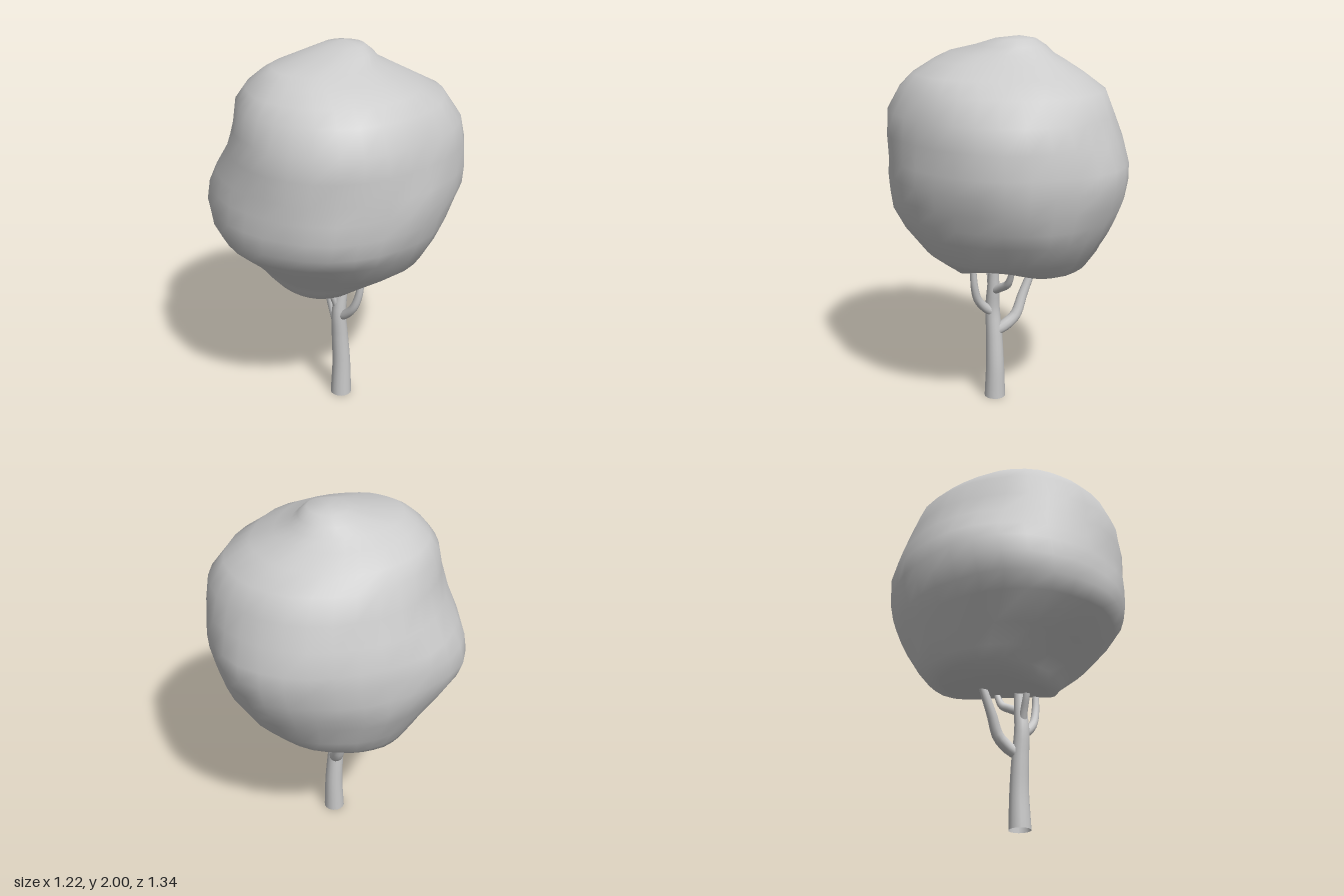
import * as THREE from 'three';
import { mergeVertices } from 'three/addons/utils/BufferGeometryUtils.js';

const material = new THREE.MeshStandardMaterial({ color: 0xcccccc });
const openMaterial = new THREE.MeshStandardMaterial({ color: 0xcccccc, side: THREE.DoubleSide });

// Crown outline by height: [y, xMin, xMax, zMin, zMax]
const CROWN = [
  [0.67, -0.12, -0.12, 0.17, 0.17], [0.68, -0.19, 0.06, 0.05, 0.25],
  [0.7, -0.26, 0.2, -0.08, 0.3], [0.74, -0.4, 0.28, -0.28, 0.32],
  [0.8, -0.44, 0.36, -0.41, 0.37], [0.89, -0.49, 0.45, -0.5, 0.47],
  [1.02, -0.555, 0.53, -0.585, 0.625], [1.1, -0.585, 0.57, -0.615, 0.662],
  [1.19, -0.602, 0.588, -0.645, 0.662], [1.29, -0.603, 0.602, -0.664, 0.65],
  [1.38, -0.6, 0.595, -0.664, 0.637], [1.5, -0.555, 0.585, -0.64, 0.625],
  [1.62, -0.512, 0.572, -0.607, 0.61], [1.74, -0.475, 0.52, -0.55, 0.567],
  [1.81, -0.415, 0.45, -0.42, 0.505], [1.87, -0.33, 0.33, -0.31, 0.435],
  [1.91, -0.26, 0.23, -0.24, 0.37], [1.95, -0.19, 0.16, -0.2, 0.18],
  [1.985, -0.12, 0.1, -0.15, 0.05], [2.0, -0.03, -0.03, -0.06, -0.06],
];

// Swellings and hollows of the crown: [angle in degrees from +x towards +z, y, amount]
const LUMPS = [
  [315, 1.6, 0.06], [315, 1.86, -0.06], [328, 1.3, 0.03], [315, 0.78, -0.1], [341, 1.17, -0.03],
  [45, 1.56, 0.06], [50, 1.25, 0.015], [45, 0.9, -0.03], [75, 1.05, -0.02],
  [135, 1.8, 0.01], [135, 1.58, -0.05], [138, 1.22, 0.07], [150, 1.25, 0.03], [135, 0.78, 0.1],
  [213, 1.3, -0.05], [246, 1.32, 0.03], [225, 0.95, -0.06],
];

function lumpiness(a, y) {
  let sum = 0;
  for (const [deg, ly, amount] of LUMPS) {
    const turn = a - THREE.MathUtils.degToRad(deg);
    const d = Math.atan2(Math.sin(turn), Math.cos(turn));
    sum += amount * Math.exp(-((d / 0.45) ** 2) - ((y - ly) / 0.17) ** 2);
  }
  return sum + 0.006 * Math.sin(7 * a - 9 * y) + 0.004 * Math.sin(11 * a + 15 * y);
}

// Foliage skinned over the outline rings
function crownGeometry() {
  const seg = 32, pos = [], index = [];
  for (const [y, x0, x1, z0, z1] of CROWN) {
    for (let i = 0; i < seg; i++) {
      const a = (i / seg) * Math.PI * 2, k = 1 + lumpiness(a, y);
      const x = (x0 + x1) / 2 + k * Math.cos(a) * (x1 - x0) / 2;
      const z = (z0 + z1) / 2 + k * Math.sin(a) * (z1 - z0) / 2;
      // slope of the underside up towards the branches
      const lift = y < 0.85 ? 0.07 * Math.exp(-((x - 0.16) ** 2 + (z + 0.07) ** 2) / 0.05) : 0;
      pos.push(x, y + lift, z);
    }
  }
  for (let r = 0; r < CROWN.length - 1; r++) {
    for (let i = 0; i < seg; i++) {
      const a = r * seg + i, b = r * seg + (i + 1) % seg;
      index.push(a, a + seg, b, b, a + seg, b + seg);
    }
  }
  const g = new THREE.BufferGeometry();
  g.setAttribute('position', new THREE.Float32BufferAttribute(pos, 3));
  g.setIndex(index);
  const merged = mergeVertices(g, 1e-4);
  merged.computeVertexNormals();
  return merged;
}

// Tapered tube through points [x, y, z, radius], open at the root and rounded at the tip
function limb(name, points, sides = 12) {
  const steps = 16;
  const curve = new THREE.CatmullRomCurve3(points.map(p => new THREE.Vector3(p[0], p[1], p[2])));
  const g = new THREE.TubeGeometry(curve, steps, 1, sides, false);
  const p = g.attributes.position, v = new THREE.Vector3();
  for (let i = 0; i < p.count; i++) {
    const u = Math.floor(i / (sides + 1)) / steps;
    const t = curve.getUtoTmapping(u) * (points.length - 1);
    const j = Math.min(Math.floor(t), points.length - 2);
    const radius = THREE.MathUtils.lerp(points[j][3], points[j + 1][3], t - j);
    const centre = curve.getPointAt(u);
    v.fromBufferAttribute(p, i).sub(centre).multiplyScalar(radius).add(centre);
    p.setXYZ(i, v.x, v.y, v.z);
  }
  const tip = new THREE.Mesh(new THREE.SphereGeometry(points.at(-1)[3], sides, 8), material);
  tip.position.copy(curve.getPointAt(1));
  const group = new THREE.Group();
  group.name = name;
  group.add(new THREE.Mesh(g, openMaterial), tip);
  return group;
}

export function createModel() {
  const tree = new THREE.Group();
  tree.name = 'tree';

  const crown = new THREE.Mesh(crownGeometry(), material);
  crown.name = 'crown';
  tree.add(crown);

  tree.add(
    limb('trunk', [
      [0.055, 0.003, 0.043, 0.058], [0.055, 0.2, 0.04, 0.05], [0.053, 0.38, 0.05, 0.045],
      [0.055, 0.52, 0.06, 0.04], [0.06, 0.64, 0.047, 0.034], [0.062, 0.73, 0.04, 0.029],
    ], 16),
    limb('rightBranch', [
      [0.05, 0.385, 0.045, 0.03], [0.0, 0.425, 0.01, 0.034], [-0.05, 0.475, -0.012, 0.031],
      [-0.095, 0.58, -0.018, 0.027], [-0.135, 0.68, -0.03, 0.023], [-0.17, 0.8, -0.05, 0.017],
    ]),
    limb('leftBranch', [
      [0.06, 0.5, 0.055, 0.026], [0.11, 0.535, 0.058, 0.026], [0.16, 0.59, 0.056, 0.023],
      [0.19, 0.67, 0.048, 0.021], [0.205, 0.78, 0.04, 0.017],
    ]),
    limb('frontBranch', [
      [0.055, 0.54, 0.06, 0.022], [0.042, 0.62, 0.085, 0.02], [0.03, 0.69, 0.11, 0.018], [0.025, 0.76, 0.125, 0.014],
    ]),
    limb('backBranch', [
      [0.06, 0.63, 0.04, 0.024], [0.06, 0.66, -0.02, 0.023], [0.065, 0.695, -0.08, 0.021], [0.07, 0.78, -0.125, 0.015],
    ]),
  );
  return tree;
}
